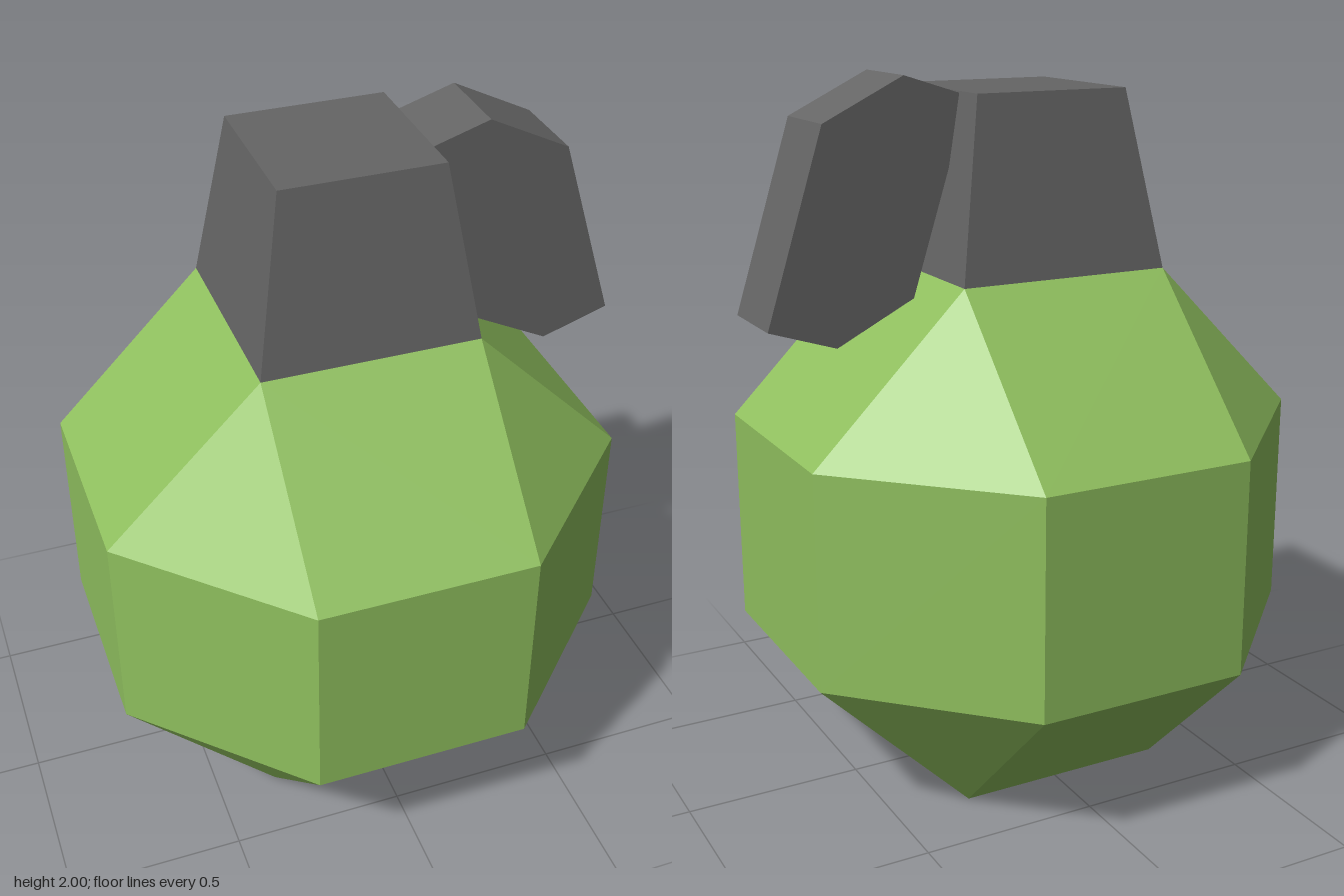
import * as THREE from 'three';
import { ConvexGeometry } from 'three/addons/geometries/ConvexGeometry.js';

export function createModel() {
  const model = new THREE.Group();
  const green = new THREE.MeshStandardMaterial({ color: 0x8fbf5e, flatShading: true });
  green.name = 'green';
  const grey = new THREE.MeshStandardMaterial({ color: 0x656565, flatShading: true });
  grey.name = 'darkGrey';

  const add = (name, geometry, material, x, y, z) => {
    const mesh = new THREE.Mesh(geometry, material);
    mesh.name = name;
    mesh.position.set(x, y, z);
    model.add(mesh);
  };

  const cx = -0.022; // axis of the body
  const outer = 0.735, inner = 0.303;

  // Faceted body: a cube with bevelled edges and corners
  const points = [];
  for (const sx of [-1, 1]) for (const sy of [-1, 1]) for (const sz of [-1, 1]) {
    for (let axis = 0; axis < 3; axis++) {
      const size = [inner, inner, inner];
      size[axis] = outer;
      points.push(new THREE.Vector3(sx * size[0], sy * size[1], sz * size[2]));
    }
  }
  add('body', new ConvexGeometry(points), green, cx, 0.738, 0);

  // Square tapered neck
  const neck = new THREE.CylinderGeometry(0.222 * Math.SQRT2, inner * Math.SQRT2, 0.482, 4);
  neck.rotateY(Math.PI / 4);
  add('neck', neck, grey, cx, 1.714, 0);

  // Lever: slanted six-sided plate whose inner corner sinks into the neck
  const profile = [[0.175, 1.942], [0.34, 1.42], [0.562, 1.308], [0.75, 1.37], [0.585, 1.888], [0.358, 2.0]];
  const shape = new THREE.Shape(profile.map(([x, y]) => new THREE.Vector2(x, y)));
  const lever = new THREE.ExtrudeGeometry(shape, { depth: 0.24, bevelEnabled: false });
  add('lever', lever, grey, 0, 0, -0.12);

  return model;
}
